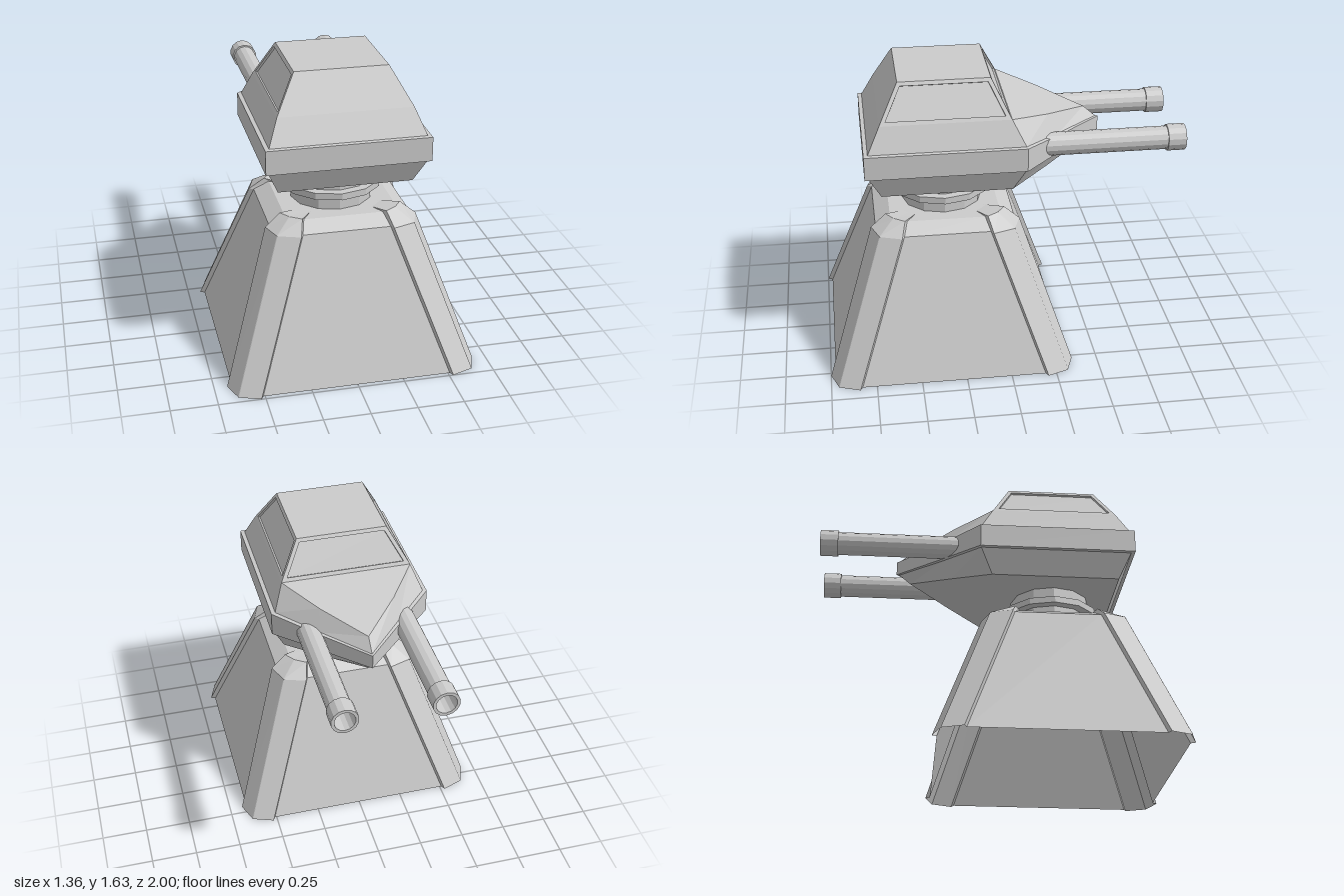
import * as THREE from 'three';

const CZ = 0.32; // turret axis
const grey = new THREE.MeshStandardMaterial({ color: 0xcccccc, flatShading: true, side: THREE.DoubleSide });

// Collects polygons (corners counter-clockwise from outside) into a flat-shaded mesh
class Facets {
  constructor() { this.p = []; }
  poly(...c) {
    for (let i = 1; i < c.length - 1; i++) this.p.push(...c[0], ...c[i], ...c[i + 1]);
  }
  loft(rings) {
    for (let r = 0; r < rings.length - 1; r++) {
      const a = rings[r], b = rings[r + 1];
      a.forEach((_, i) => {
        const j = (i + 1) % a.length;
        this.poly(a[i], a[j], b[j], b[i]);
      });
    }
  }
  // Quad with a recessed panel: frame, step walls and sunken floor
  panel(c, margin, depth) {
    const v = c.map((q) => new THREE.Vector3(...q));
    const n = v[1].clone().sub(v[0]).cross(v[3].clone().sub(v[0])).normalize();
    const inner = v.map((q, i) => {
      const next = v[(i + 1) % 4].clone().sub(q).normalize();
      const prev = v[(i + 3) % 4].clone().sub(q).normalize();
      return q.clone().addScaledVector(next, margin).addScaledVector(prev, margin);
    });
    const rim = inner.map((q) => q.toArray());
    const floor = inner.map((q) => q.clone().addScaledVector(n, -depth).toArray());
    this.loft([c, rim, floor]);
    this.poly(...floor);
  }
  mesh(name) {
    const g = new THREE.BufferGeometry();
    g.setAttribute('position', new THREE.Float32BufferAttribute(this.p, 3));
    g.computeVertexNormals();
    const m = new THREE.Mesh(g, grey);
    m.name = name;
    return m;
  }
}

// Pedestal outline: four flat sides (half width w) with raised corner ribs starting at a
function pedestalRing(a, w, y, ribY = y, lip = 0.025) {
  const corner = [
    [a, w, y], [a + 0.013, w + lip, ribY], [w - 0.018, w - 0.018, ribY],
    [w + lip, a + 0.013, ribY], [w, a, y],
  ];
  // chamfer the rib's outer corner
  corner.splice(2, 1, [w - 0.015, w - 0.018, ribY], [w - 0.018, w - 0.015, ribY]);
  const ring = [];
  for (let k = 0; k < 4; k++) {
    for (let [x, z, h] of corner) {
      for (let i = 0; i < k; i++) [x, z] = [z, -x];
      ring.push([x, h, z + CZ]);
    }
  }
  return ring;
}

function pedestal() {
  const f = new Facets();
  const top = pedestalRing(0.16, 0.22, 0.83, 0.83, 0.01);
  f.loft([
    pedestalRing(0.51, 0.655, 0),
    pedestalRing(0.237, 0.388, 0.78),
    pedestalRing(0.215, 0.305, 0.83, 0.845),
    top,
  ]);
  f.poly(...top);
  return f.mesh('pedestal');
}

// Hull outline: rectangle with a pointed nose; b = nose shoulder, t = nose tip
function hullRing(x, zFront, zBack, y, b, t) {
  return [
    [-x, y, zFront], [x, y, zFront], [x, y, zBack], [b[0], b[1], b[2]],
    [0, t[0], t[1]], [-b[0], b[1], b[2]], [-x, y, zBack],
  ];
}

function hull() {
  const f = new Facets();
  const rings = [
    hullRing(0.36, 0.67, -0.04, 1.02, [0.19, 1.07, -0.26], [1.125, -0.49]),
    hullRing(0.42, 0.735, -0.105, 1.155, [0.215, 1.167, -0.315], [1.18, -0.555]),
    hullRing(0.437, 0.757, -0.11, 1.158, [0.225, 1.169, -0.33], [1.182, -0.57]),
    hullRing(0.437, 0.757, -0.11, 1.29, [0.225, 1.27, -0.33], [1.262, -0.57]),
    hullRing(0.415, 0.735, -0.105, 1.293, [0.215, 1.273, -0.315], [1.265, -0.555]),
    hullRing(0.36, 0.667, -0.035, 1.43, [0.205, 1.382, -0.25], [1.328, -0.485]),
  ];
  f.loft(rings);
  const low = rings[0], high = rings[5];
  // underside and nose caps
  f.poly(low[0], low[6], low[2], low[1]);
  f.poly(low[4], low[3], low[2], low[6], low[5]);
  f.poly(high[4], high[5], high[6], high[2], high[3]);
  // cabin: plain front, recessed panels on both sides and the back
  const base = [high[0], high[1], high[2], high[6]];
  const roof = [[-0.25, 1.63, 0.56], [0.25, 1.63, 0.56], [0.25, 1.63, 0.065], [-0.25, 1.63, 0.065]];
  f.poly(base[0], base[1], roof[1], roof[0]);
  for (let i = 1; i < 4; i++) {
    const j = (i + 1) % 4;
    f.panel([base[i], base[j], roof[j], roof[i]], 0.024, 0.012);
  }
  f.poly(...roof);
  return f.mesh('turretHull');
}

function cylinder(name, r, y0, y1) {
  const m = new THREE.Mesh(new THREE.CylinderGeometry(r, r, y1 - y0, 12), grey);
  m.position.set(0, (y0 + y1) / 2, CZ);
  m.name = name;
  return m;
}

// Hollow gun barrel with a thicker muzzle, pointing to -z
function barrel(side) {
  const profile = [[0, 0], [0.064, 0], [0.064, 0.7], [0.073, 0.7], [0.073, 0.8], [0.056, 0.8], [0.056, 0.5], [0, 0.5]]
    .map(([r, h]) => new THREE.Vector2(r, h));
  const g = new THREE.LatheGeometry(profile, 14).rotateX(-Math.PI / 2);
  const m = new THREE.Mesh(g, grey);
  m.position.set(side * 0.262, 1.23, -0.2);
  m.name = side > 0 ? 'leftBarrel' : 'rightBarrel';
  return m;
}

export function createModel() {
  const model = new THREE.Group();
  model.name = 'gunTurret';
  model.add(
    pedestal(),
    cylinder('neck', 0.225, 0.82, 1.03),
    cylinder('neckRing', 0.275, 0.905, 0.942),
    hull(),
    barrel(1),
    barrel(-1),
  );
  return model;
}
